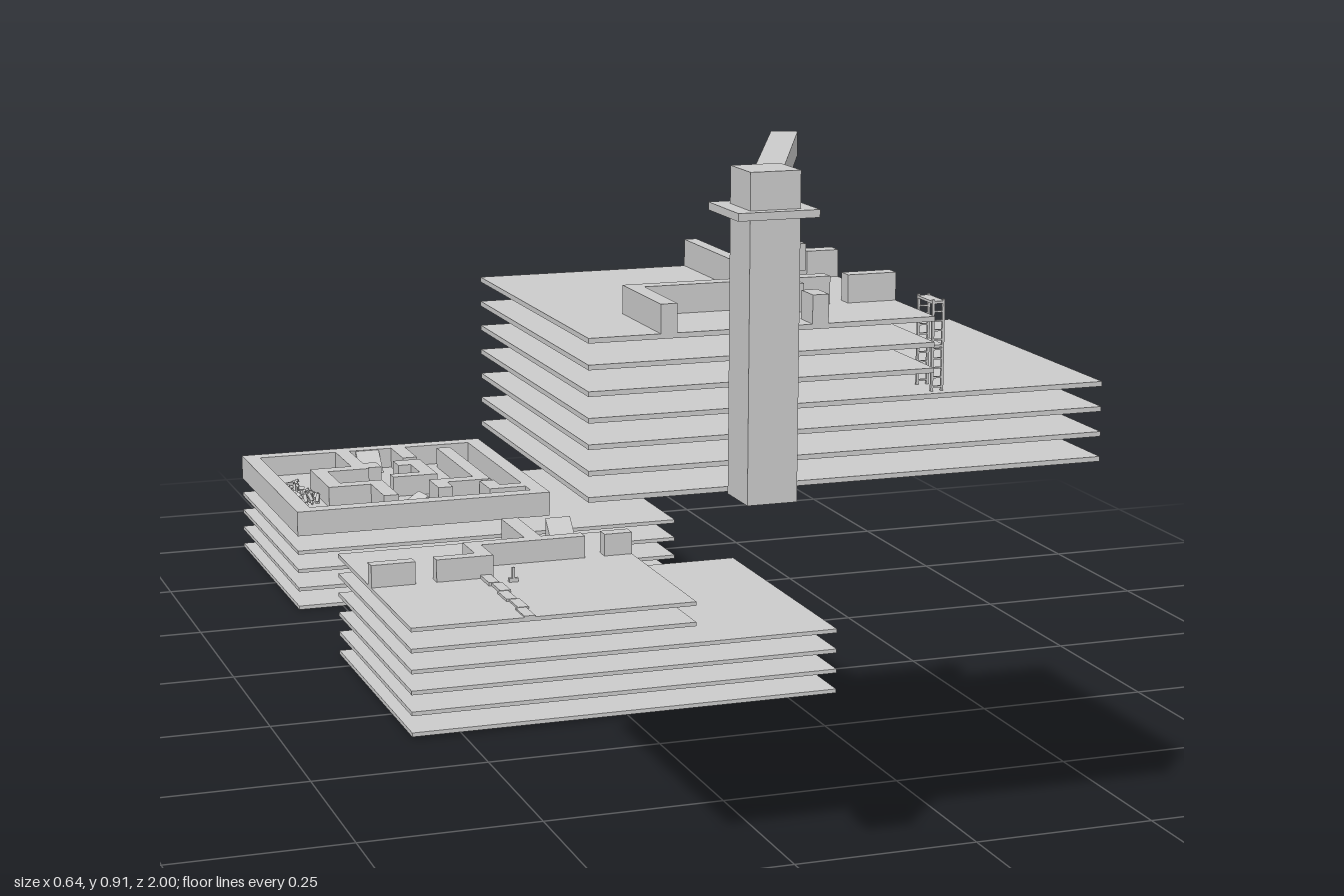
import * as THREE from 'three';

const GREY = new THREE.MeshStandardMaterial({ color: 0xcccccc, flatShading: true });

export function createModel() {
  const root = new THREE.Group();

  function add(parent, name, geo) {
    const m = new THREE.Mesh(geo, GREY);
    m.name = name;
    parent.add(m);
    return m;
  }

  // Box given by its limits on each axis
  function box(parent, name, x0, x1, y0, y1, z0, z1) {
    const m = add(parent, name, new THREE.BoxGeometry(x1 - x0, y1 - y0, z1 - z0));
    m.position.set((x0 + x1) / 2, (y0 + y1) / 2, (z0 + z1) / 2);
    return m;
  }

  // Thin floor plate, optionally with a rectangular stair opening
  function floor(parent, x1, y, z0, z1, hole) {
    const rect = (C, a, b, c, d) => {
      const s = new C();
      s.moveTo(a, -c); s.lineTo(b, -c); s.lineTo(b, -d); s.lineTo(a, -d); s.closePath();
      return s;
    };
    const s = rect(THREE.Shape, -0.323, x1, z0, z1);
    if (hole) s.holes.push(rect(THREE.Path, ...hole));
    const g = new THREE.ExtrudeGeometry(s, { depth: 0.006, bevelEnabled: false });
    g.rotateX(-Math.PI / 2);
    add(parent, 'floorPlate', g).position.y = y;
  }

  // Wedge rising toward the back
  function ramp(parent, x0, x1, y0, y1, z0, z1) {
    const s = new THREE.Shape();
    s.moveTo(-z1, y0); s.lineTo(-z0, y0); s.lineTo(-z0, y1); s.closePath();
    const g = new THREE.ExtrudeGeometry(s, { depth: x1 - x0, bevelEnabled: false });
    g.rotateY(Math.PI / 2);
    add(parent, 'stairRamp', g).position.x = x0;
  }

  // Stack of floors: four wide ones, then narrow ones, walls on the top
  function stack(name, y, z0, z1, narrow, hole, walls) {
    const g = new THREE.Group();
    g.name = name;
    root.add(g);
    const step = 0.0306;
    for (let i = 0; i < 4 + narrow; i++) {
      const top = i >= 4 && i === 3 + narrow;
      floor(g, i < 4 ? 0.322 : 0.102, y + i * step, z0, z1, top ? hole : null);
    }
    const base = y + (3 + narrow) * step + 0.006;
    for (const [a, b, c, d] of walls) box(g, 'wall', a, b, base, base + 0.034, c, d);
    return { g, base };
  }

  // Back stack: closed outer wall and a maze of rooms
  const maze = stack('mazeStack', 0, -1, -0.577, 1, null, [
    [-0.323, 0.103, -1, -0.974], [-0.323, 0.103, -0.603, -0.577],
    [-0.323, -0.297, -0.974, -0.603], [0.077, 0.103, -0.974, -0.603],
    [-0.163, -0.138, -0.974, -0.862], [-0.235, -0.138, -0.862, -0.836],
    [-0.235, -0.21, -0.836, -0.75], [-0.235, -0.138, -0.75, -0.725],
    [-0.163, -0.138, -0.725, -0.64], [-0.063, -0.038, -0.974, -0.894],
    [-0.138, -0.115, -0.878, -0.842], [-0.085, -0.038, -0.878, -0.842],
    [-0.063, -0.038, -0.842, -0.785], [-0.115, -0.038, -0.785, -0.762],
    [0.013, 0.037, -0.95, -0.725], [-0.063, 0.037, -0.725, -0.7],
    [-0.063, -0.038, -0.7, -0.665], [0.015, 0.04, -0.69, -0.63],
    [0.04, 0.077, -0.655, -0.63]]);
  ramp(maze.g, -0.127, -0.086, maze.base, maze.base + 0.033, -0.973, -0.94);
  const crate = box(maze.g, 'tippedCrate', -0.112, -0.082, maze.base, maze.base + 0.02, -0.682, -0.66);
  crate.rotation.set(0.3, 0.6, 0.2);

  // Rubble heap in the side corridor
  let seed = 7;
  const rnd = () => (seed = (seed * 16807) % 2147483647) / 2147483647;
  for (let i = 0; i < 45; i++) {
    const r = add(maze.g, 'rubble', new THREE.BoxGeometry(0.014, 0.004, 0.006));
    r.position.set(-0.27 + (rnd() - 0.5) * 0.045, maze.base + 0.004 + rnd() * 0.014, -0.793 + (rnd() - 0.5) * 0.125);
    r.rotation.set(rnd() * 3, rnd() * 3, rnd() * 3);
  }

  // Middle stack: a few partition walls
  const mid = stack('middleStack', 0.003, -0.305, 0.12, 2, [-0.13, -0.088, -0.275, -0.237], [
    [-0.063, -0.037, -0.305, -0.185], [-0.16, 0.027, -0.185, -0.163],
    [0.058, 0.102, -0.185, -0.163], [-0.16, -0.137, -0.163, -0.1],
    [-0.323, -0.256, -0.12, -0.1], [-0.224, -0.16, -0.12, -0.1]]);
  ramp(mid.g, -0.127, -0.09, 0.13, 0.16, -0.275, -0.237);
  ramp(mid.g, 0.003, 0.043, mid.base - 0.005, mid.base + 0.034, -0.287, -0.25);

  // Broken footing course and a small post with arms
  for (let i = 0; i < 5; i++) {
    const x = -0.157 + (i % 2) * 0.004;
    box(mid.g, 'brokenFooting', x, x + 0.016, mid.base, mid.base + 0.005 - i * 0.0007, -0.1 + i * 0.044, -0.056 + i * 0.044);
  }
  box(mid.g, 'marker', -0.118, -0.114, mid.base, mid.base + 0.022, -0.07, -0.066);
  box(mid.g, 'marker', -0.123, -0.109, mid.base, mid.base + 0.006, -0.071, -0.065);

  // Front stack, raised higher
  const front = stack('frontStack', 0.528, 0.48, 0.908, 3, [0.002, 0.044, 0.522, 0.558], [
    [-0.052, -0.036, 0.48, 0.775], [-0.237, 0.017, 0.775, 0.795],
    [0.04, 0.102, 0.775, 0.795], [-0.237, -0.217, 0.795, 0.908],
    [-0.052, -0.032, 0.795, 0.832], [-0.052, -0.032, 0.873, 0.908],
    [-0.036, -0.012, 0.596, 0.618], [0.06, 0.102, 0.596, 0.618]]);
  ramp(front.g, 0.003, 0.043, 0.677, 0.711, 0.525, 0.565);

  // Scaffold against the step in the floors
  const scaffold = new THREE.Group();
  scaffold.name = 'scaffold';
  root.add(scaffold);
  for (const x of [0.104, 0.117])
    for (const z of [0.852, 0.893]) box(scaffold, 'scaffoldPost', x, x + 0.003, 0.625, 0.735, z, z + 0.003);
  for (let i = 0; i < 10; i++) {
    const y = 0.63 + i * 0.0112;
    for (const z of [0.852, 0.893]) box(scaffold, 'scaffoldRung', 0.104, 0.12, y, y + 0.002, z, z + 0.003);
  }
  for (const y of [0.678, 0.73]) box(scaffold, 'scaffoldDeck', 0.104, 0.12, y, y + 0.003, 0.852, 0.896);

  // Crane tower, collar and ladder
  const crane = new THREE.Group();
  crane.name = 'crane';
  root.add(crane);
  box(crane, 'tower', -0.161, -0.101, 0.53, 0.908, 0.925, 0.987);
  box(crane, 'collar', -0.18, -0.083, 0.856, 0.865, 0.906, 1);
  for (const z of [0.928, 0.944]) box(crane, 'ladderRail', -0.101, -0.097, 0.712, 0.9, z, z + 0.002);
  for (let y = 0.72; y < 0.9; y += 0.013) box(crane, 'ladderRung', -0.1, -0.097, y, y + 0.002, 0.928, 0.946);

  // Boom swung over the floor
  const boom = add(crane, 'boom', new THREE.BoxGeometry(0.033, 0.03, 0.396));
  boom.position.set(-0.0465, 0.885, 0.775);
  boom.rotation.y = Math.atan2(-0.167, 0.36);

  // Cable with the hanging wall panel and its doorway
  const cable = add(crane, 'cable', new THREE.CylinderGeometry(0.002, 0.002, 0.11, 8));
  cable.position.set(0.024, 0.815, 0.612);
  box(crane, 'panelLintel', -0.007, 0.057, 0.75, 0.762, 0.602, 0.621);
  box(crane, 'panelJamb', -0.007, 0.017, 0.728, 0.75, 0.602, 0.621);
  box(crane, 'panelJamb', 0.038, 0.057, 0.728, 0.75, 0.602, 0.621);

  return root;
}
